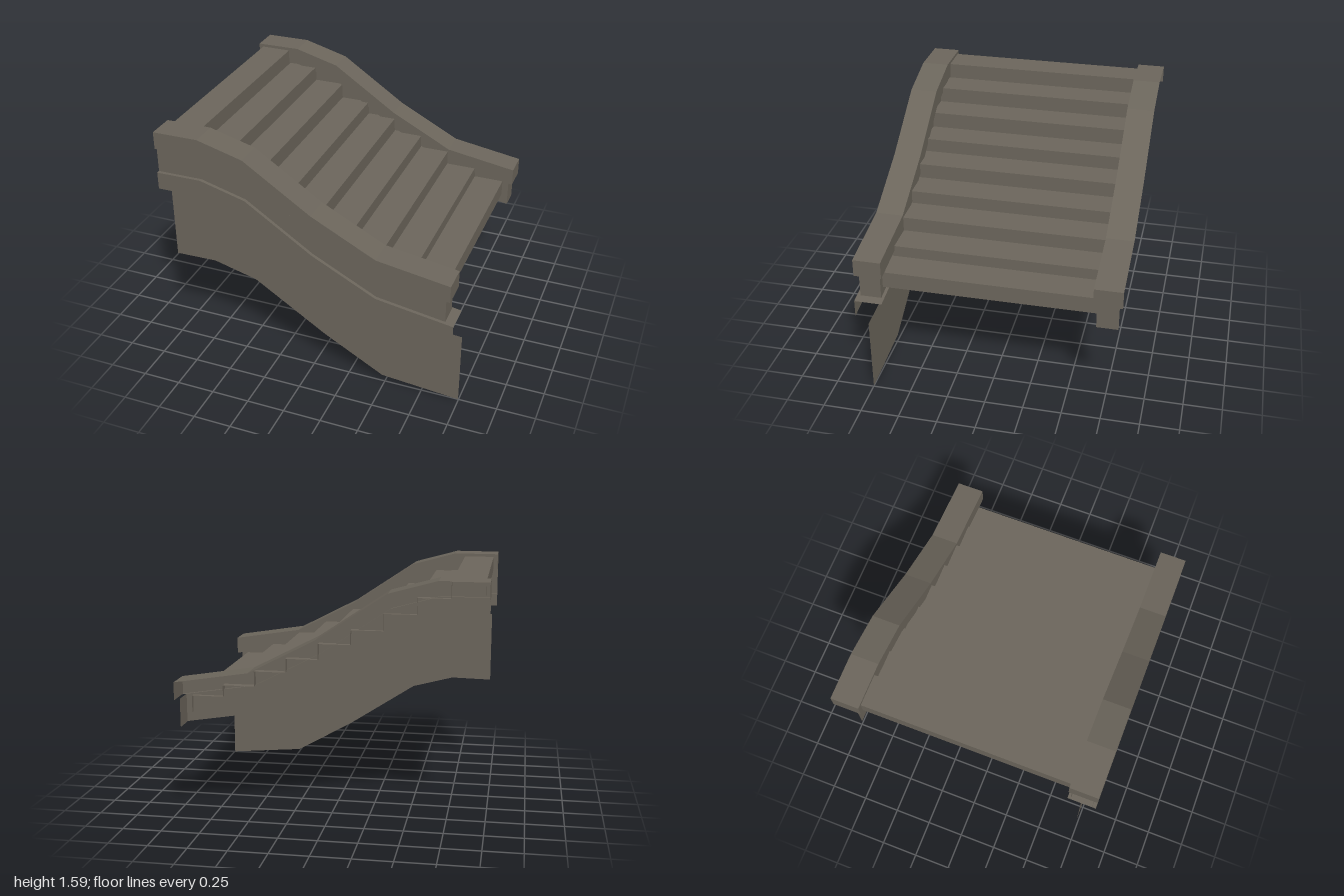
import * as THREE from 'three';

const stone = new THREE.MeshStandardMaterial({ color: 0x6b655b, side: THREE.DoubleSide });
stone.name = 'warm grey stone';

// Top line of the balustrade, falling towards +x
const RAIL = [[-1, 1.592], [-0.7, 1.594], [-0.4, 1.512], [0.04, 1.217], [0.46, 1.0]];
const END_SLOPE = -0.158;

// A copy of the rail line: lowered by drop, ending at endX, at depth z
function railLine(drop, endX, z) {
  const last = [endX, 1.0 + (endX - 0.46) * END_SLOPE];
  return [...RAIL, last].map(([x, y]) => new THREE.Vector3(x, y - drop, z));
}

// Flat-faced skin stretched across a row of lines with equal point counts
function skin(name, lines) {
  const pos = [];
  for (let i = 0; i < lines.length - 1; i++) {
    const a = lines[i], b = lines[i + 1];
    for (let j = 0; j < a.length - 1; j++) {
      for (const p of [a[j], b[j], b[j + 1], a[j], b[j + 1], a[j + 1]]) pos.push(p.x, p.y, p.z);
    }
  }
  const geo = new THREE.BufferGeometry();
  geo.setAttribute('position', new THREE.Float32BufferAttribute(pos, 3));
  geo.computeVertexNormals();
  const mesh = new THREE.Mesh(geo, stone);
  mesh.name = name;
  return mesh;
}

// Upright rectangle across z that closes the end of a rail part
function endPlate(name, x, top, bottom, z0, z1) {
  return skin(name, [
    [new THREE.Vector3(x, top, z0), new THREE.Vector3(x, top, z1)],
    [new THREE.Vector3(x, bottom, z0), new THREE.Vector3(x, bottom, z1)],
  ]);
}

// One balustrade; the rear one is left open on its outer side
function balustrade(name, s, closedOutside) {
  const g = new THREE.Group();
  g.name = name;
  const inner = s * 0.667, outer = s * 0.848, panelIn = s * 0.687, panelOut = s * 0.825;

  const cap = [
    railLine(0.115, 0.935, panelIn), railLine(0.115, 0.935, inner),
    railLine(0, 0.935, inner), railLine(0, 0.935, outer),
  ];
  if (closedOutside) cap.push(railLine(0.115, 0.935, outer), railLine(0.115, 0.935, panelOut));
  g.add(skin('railCap', cap.reverse()));
  g.add(endPlate('capLowerEnd', 0.935, 0.925, 0.81, outer, inner));
  g.add(endPlate('capUpperEnd', -1, 1.592, 1.477, inner, outer));

  g.add(skin('innerPanel', [railLine(0.115, 0.905, panelIn), railLine(0.295, 0.905, panelIn)]));
  g.add(endPlate('panelEnd', 0.905, 0.815, 0.632, panelOut, panelIn));

  if (closedOutside) {
    g.add(skin('outerPanel', [railLine(0.115, 0.905, panelOut), railLine(0.295, 0.905, panelOut)]));
    // Projecting ledge with a turned-down face
    g.add(skin('ledge', [
      railLine(0.283, 0.963, inner), railLine(0.283, 0.963, outer), railLine(0.398, 0.963, outer),
    ]));
  }
  return g;
}

export function createModel() {
  const model = new THREE.Group();
  model.name = 'staircase';

  model.add(balustrade('frontBalustrade', 1, true));
  model.add(balustrade('rearBalustrade', -1, false));

  // Stepped sheet of treads and risers
  const treadTops = [1.573, 1.47, 1.368, 1.262, 1.17, 1.07, 0.982, 0.886, 0.812];
  const profile = [[-0.97, 1.47]];
  treadTops.forEach((y, i) => {
    profile.push([-0.97 + i * 0.2035, y], [-0.97 + (i + 1) * 0.2035, y]);
  });
  profile.push([0.8615, 0.703]);
  const stepLine = z => profile.map(([x, y]) => new THREE.Vector3(x, y, z));
  model.add(skin('steps', [stepLine(-0.715), stepLine(0.715)]));

  // Thin skirt wall under the front balustrade
  const wallTop = [[-0.97, 1.145], [-0.69, 1.152], [-0.4, 1.075], [0.08, 0.765], [0.48, 0.54], [0.997, 0.5]];
  const wallBottom = [[-0.97, 0.653], [-0.69, 0.659], [-0.4, 0.582], [0.08, 0.27], [0.48, 0.045], [0.997, 0]];
  const wallLine = pts => pts.map(([x, y]) => new THREE.Vector3(x, y, 0.75));
  model.add(skin('skirtWall', [wallLine(wallTop), wallLine(wallBottom)]));

  return model;
}
